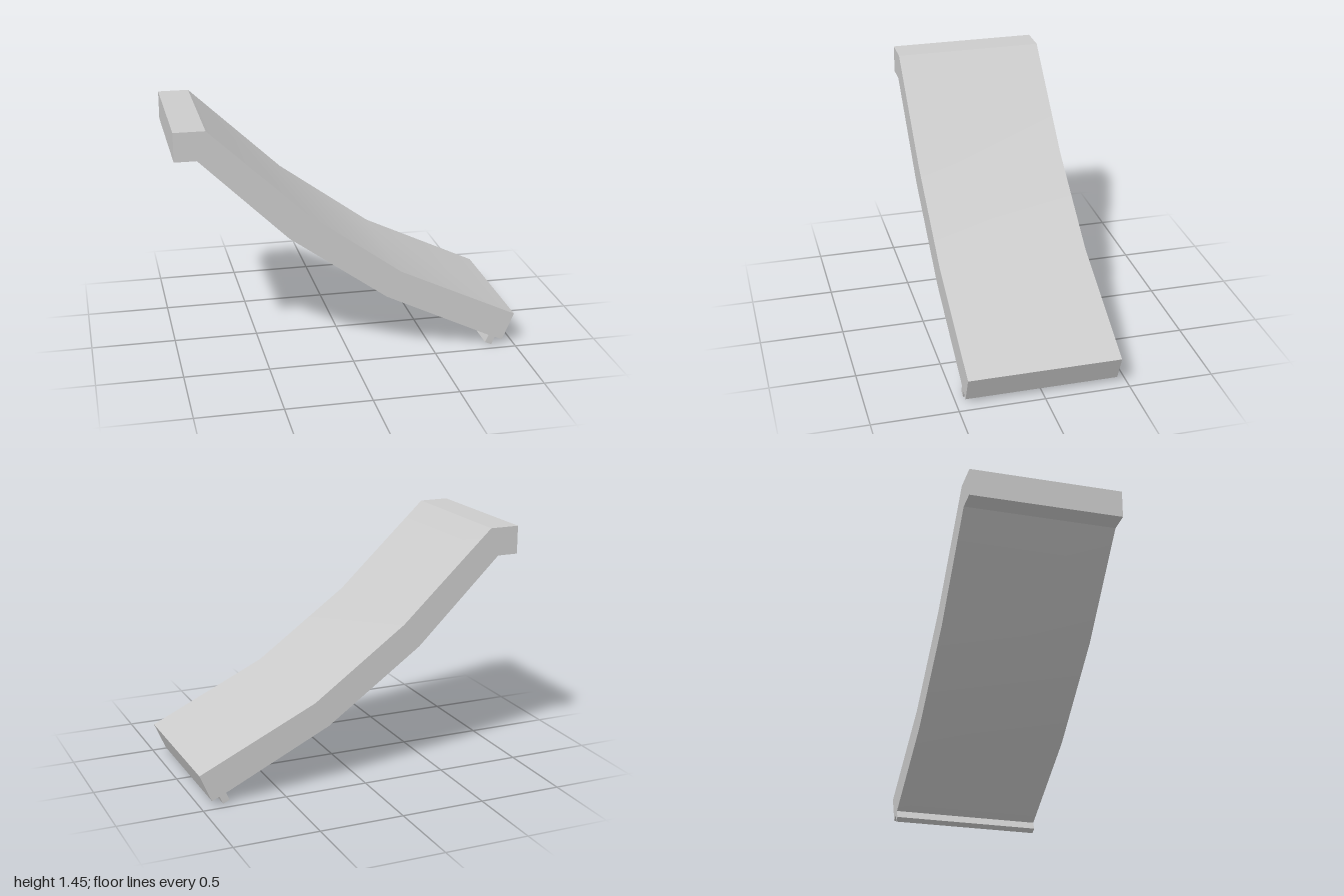
import * as THREE from 'three';
import { toCreasedNormals } from 'three/addons/utils/BufferGeometryUtils.js';

const WIDTH = 0.895;

export function createModel() {
  const group = new THREE.Group();
  group.name = 'chute';
  const material = new THREE.MeshStandardMaterial({ color: 0xcccccc });

  // Side profile: flat top ledge, three bending slopes, squared end with a small locating rib
  const profile = [
    [-1, 1.445], [-0.82, 1.445], [-0.265, 0.925], [0.295, 0.523], [1, 0.19], // upper surface
    [0.93, 0.027], [0.884, 0.047], [0.864, 0], [0.825, 0.018], [0.845, 0.064], // end and rib
    [0.21, 0.372], [-0.365, 0.782], [-0.873, 1.277], [-1, 1.277], // underside
  ].map(([x, y]) => new THREE.Vector2(x, y));

  const geometry = new THREE.ExtrudeGeometry(new THREE.Shape(profile), { depth: WIDTH, bevelEnabled: false });
  geometry.translate(0, 0, -WIDTH / 2);

  // Gentle bends of the slope are smooth, all other edges stay sharp
  const slope = new THREE.Mesh(toCreasedNormals(geometry, 0.4), material);
  slope.name = 'slope';
  group.add(slope);
  return group;
}
